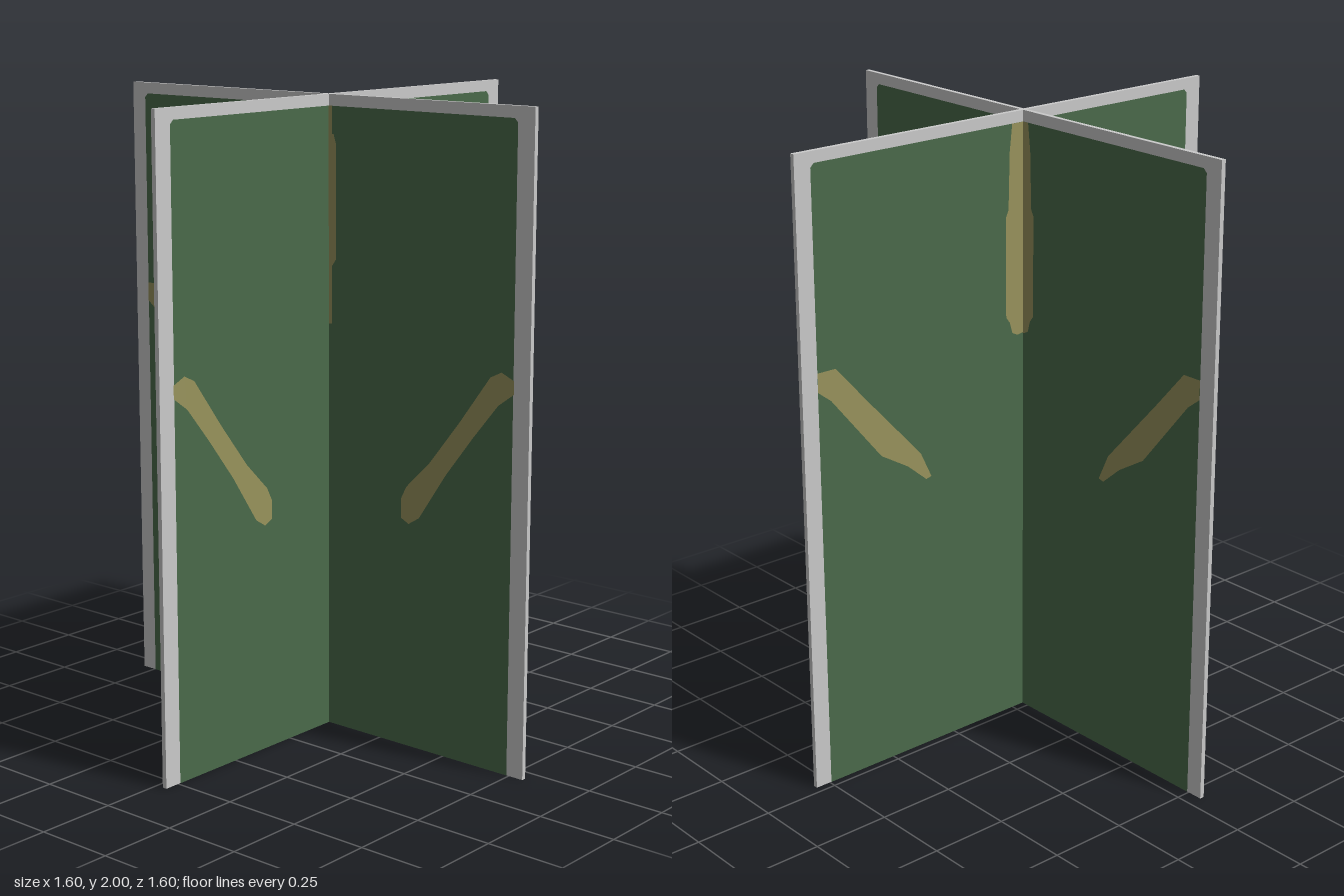
import * as THREE from 'three';

const W = 1.6, H = 2, T = 0.015;

const grey = new THREE.MeshStandardMaterial({ color: 0xcacaca });
grey.name = 'pale grey frame';
const green = new THREE.MeshStandardMaterial({ color: 0x4a6a4a, side: THREE.DoubleSide });
green.name = 'board green';
const tan = new THREE.MeshStandardMaterial({ color: 0x98935c, side: THREE.DoubleSide });
tan.name = 'tan streak';

// Outlines in board coordinates (x across, y up)
const field = [[-0.742, 0], [0.745, 0], [0.745, 1.953], [0.733, 1.965], [-0.73, 1.965], [-0.742, 1.953]];
const leftStreak = [[-0.745, 1.21], [-0.7, 1.23], [-0.66, 1.21], [-0.55, 1.06], [-0.44, 0.92], [-0.35, 0.83],
  [-0.33, 0.79], [-0.33, 0.73], [-0.36, 0.715], [-0.4, 0.74], [-0.5, 0.89], [-0.6, 1.02], [-0.69, 1.13], [-0.745, 1.17]];
const rightStreak = [[0.745, 1.345], [0.68, 1.345], [0.57, 1.22], [0.37, 1.0], [0.33, 0.915], [0.35, 0.91],
  [0.42, 0.97], [0.52, 1.03], [0.7, 1.25], [0.745, 1.285]];
const middleRight = [[-0.053, 1.965], [0, 1.965], [0.01, 1.88], [0.015, 1.7], [0.025, 1.68], [0.025, 1.36],
  [0.01, 1.34], [0, 1.305], [-0.02, 1.295], [-0.053, 1.3]];
const middleLeft = [[-0.033, 1.48], [-0.055, 1.48], [-0.07, 1.5], [-0.07, 1.85], [-0.06, 1.88], [-0.033, 1.88]];

// Flat painted patch on both faces of a board
function paint(board, name, outline, material, lift) {
  const shape = new THREE.Shape(outline.map(([x, y]) => new THREE.Vector2(x, y)));
  const geometry = new THREE.ShapeGeometry(shape);
  for (const side of [1, -1]) {
    const mesh = new THREE.Mesh(geometry, material);
    mesh.name = name + (side > 0 ? 'Front' : 'Back');
    mesh.position.z = side * (T / 2 + lift);
    board.add(mesh);
  }
}

// One upright board: grey slab with a green underside, green field and tan streaks
function makeBoard(name) {
  const board = new THREE.Group();
  board.name = name;
  const slab = new THREE.Mesh(new THREE.BoxGeometry(W, H, T), [grey, grey, grey, green, grey, grey]);
  slab.name = 'slab';
  slab.position.y = H / 2;
  board.add(slab);
  paint(board, 'greenField', field, green, 0.001);
  paint(board, 'leftStreak', leftStreak, tan, 0.002);
  paint(board, 'rightStreak', rightStreak, tan, 0.002);
  paint(board, 'middleStreak', middleRight, tan, 0.002);
  return board;
}

export function createModel() {
  const model = new THREE.Group();
  model.name = 'crossedBoards';

  // Board across the front
  const across = makeBoard('acrossBoard');
  across.position.z = 0.032;

  // Board running front to back
  const along = makeBoard('alongBoard');
  along.rotation.y = Math.PI / 2;
  along.position.x = -0.053;
  paint(along, 'middleStreakEdge', middleLeft, tan, 0.002);

  model.add(across, along);
  return model;
}
